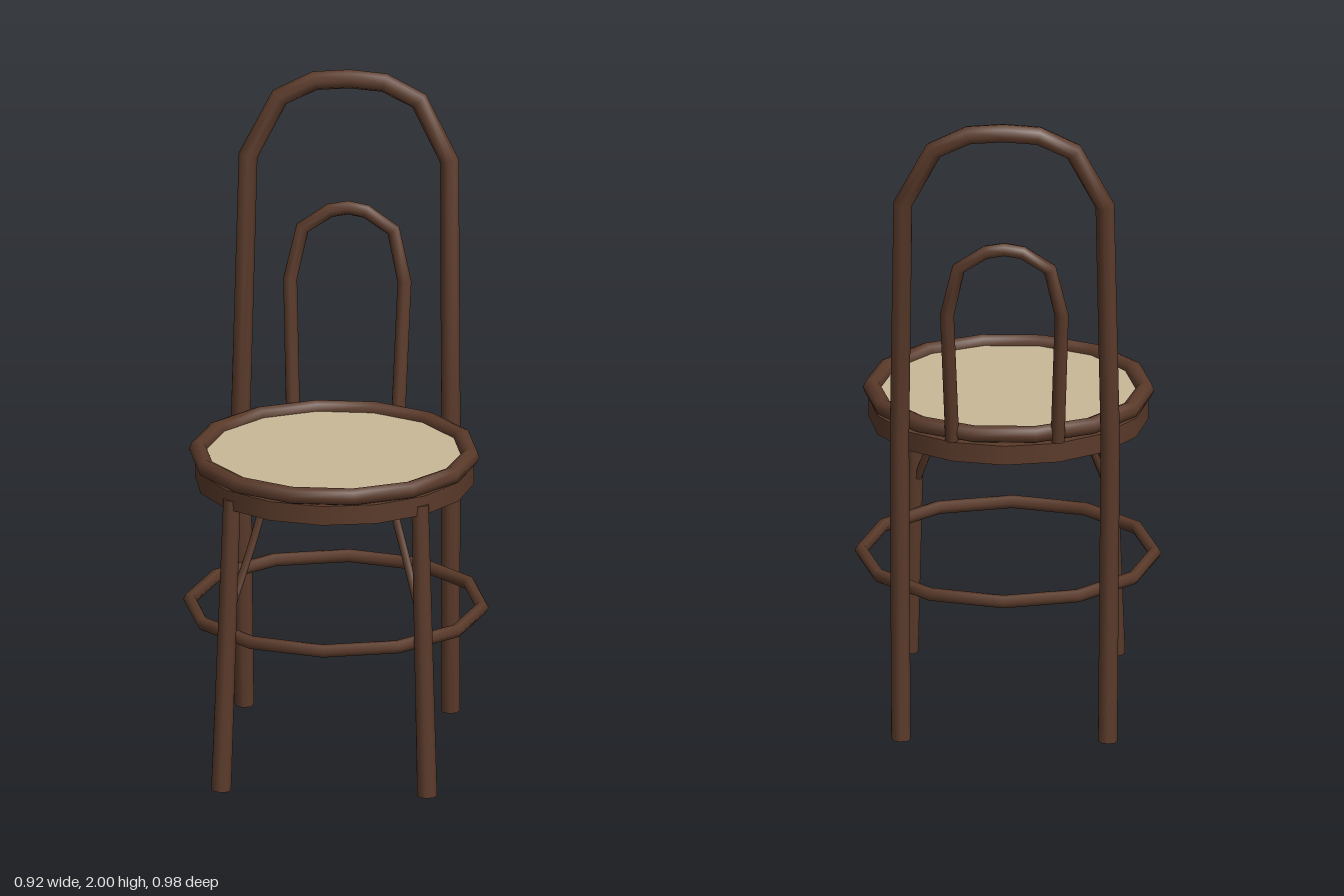
import * as THREE from 'three';

const V = (x, y, z) => new THREE.Vector3(x, y, z);

// Curve that passes exactly through its points, one tube ring per point
class Polyline extends THREE.Curve {
  constructor(points) { super(); this.points = points; }
  getPoint(t) {
    const n = this.points.length - 1, f = t * n, i = Math.min(Math.floor(f + 1e-6), n - 1);
    return this.points[i].clone().lerp(this.points[i + 1], f - i);
  }
  getPointAt(t) { return this.getPoint(t); }
  getTangentAt(t) {
    const n = this.points.length - 1, i = Math.round(t * n), p = this.points;
    const d = V(0, 0, 0);
    if (i > 0) d.add(p[i].clone().sub(p[i - 1]).normalize());
    if (i < n) d.add(p[i + 1].clone().sub(p[i]).normalize());
    return d.normalize();
  }
}

export function createModel() {
  const wood = new THREE.MeshStandardMaterial({ color: 0x5a3a2a });
  wood.name = 'darkWood';
  const cane = new THREE.MeshStandardMaterial({ color: 0xc8b898 });
  cane.name = 'cane';

  const model = new THREE.Group();
  model.name = 'bentwoodChair';
  const add = (name, geometry, material, parent = model) => {
    const mesh = new THREE.Mesh(geometry, material);
    mesh.name = name;
    parent.add(mesh);
    return mesh;
  };

  // Bent rod with closed ends
  const rod = (name, points, radius, sides = 8) => {
    const group = new THREE.Group();
    group.name = name;
    model.add(group);
    const curve = new Polyline(points);
    add(name + 'Rod', new THREE.TubeGeometry(curve, points.length - 1, radius, sides), wood, group);
    for (const t of [0, 1]) {
      const cap = add(name + 'End', new THREE.CircleGeometry(radius, sides), wood, group);
      cap.position.copy(curve.getPointAt(t));
      cap.quaternion.setFromUnitVectors(V(0, 0, 1), curve.getTangentAt(t).multiplyScalar(t ? 1 : -1));
    }
  };

  // Hoop: right half of the path, mirrored over the centre point
  const hoop = (name, half, radius) => {
    const right = half.map(p => V(...p));
    const left = right.slice(0, -1).reverse().map(p => V(-p.x, p.y, p.z));
    rod(name, [...right, ...left], radius);
  };

  // Back legs and outer back in one bent rod
  hoop('backHoop', [
    [0.31, 0.005, -0.385], [0.316, 0.95, -0.33], [0.303, 1.73, -0.432],
    [0.21, 1.91, -0.455], [0.105, 1.962, -0.462], [0, 1.97, -0.464],
  ], 0.029);

  // Inner back hoop
  hoop('innerHoop', [
    [0.158, 0.94, -0.325], [0.172, 1.36, -0.383], [0.137, 1.515, -0.403],
    [0.055, 1.57, -0.41], [0, 1.58, -0.412],
  ], 0.021);

  // Seat rim, drum and cane panel
  const seat = new THREE.Group();
  seat.name = 'seat';
  seat.position.z = 0.06;
  model.add(seat);
  const rim = add('seatRim', new THREE.TorusGeometry(0.41, 0.027, 8, 14), wood, seat);
  rim.rotation.x = Math.PI / 2;
  rim.position.y = 0.965;
  const drum = add('seatDrum', new THREE.CylinderGeometry(0.42, 0.42, 0.06, 16), wood, seat);
  drum.position.set(0, 0.906, -0.008);
  const panel = add('canePanel', new THREE.CylinderGeometry(0.404, 0.404, 0.02, 14), cane, seat);
  panel.rotation.y = Math.PI / 2;
  panel.position.y = 0.955;

  // Foot ring
  const ring = add('footRing', new THREE.TorusGeometry(0.44, 0.02, 6, 12), wood);
  ring.rotation.x = Math.PI / 2;
  ring.position.y = 0.467;

  for (const [side, s] of [['left', 1], ['right', -1]]) {
    // Tapered front leg
    const foot = V(s * 0.31, 0.003, 0.4), top = V(s * 0.283, 0.905, 0.338);
    const dir = top.clone().sub(foot);
    const leg = add(side + 'FrontLeg', new THREE.CylinderGeometry(0.026, 0.03, dir.length(), 8), wood);
    leg.position.copy(foot).add(top).multiplyScalar(0.5);
    leg.quaternion.setFromUnitVectors(V(0, 1, 0), dir.normalize());

    // Slim brace from front leg to seat
    rod(side + 'Brace', [
      V(s * 0.285, 0.56, 0.355), V(s * 0.228, 0.74, 0.272), V(s * 0.19, 0.88, 0.253),
    ], 0.012, 6);
  }
  return model;
}
